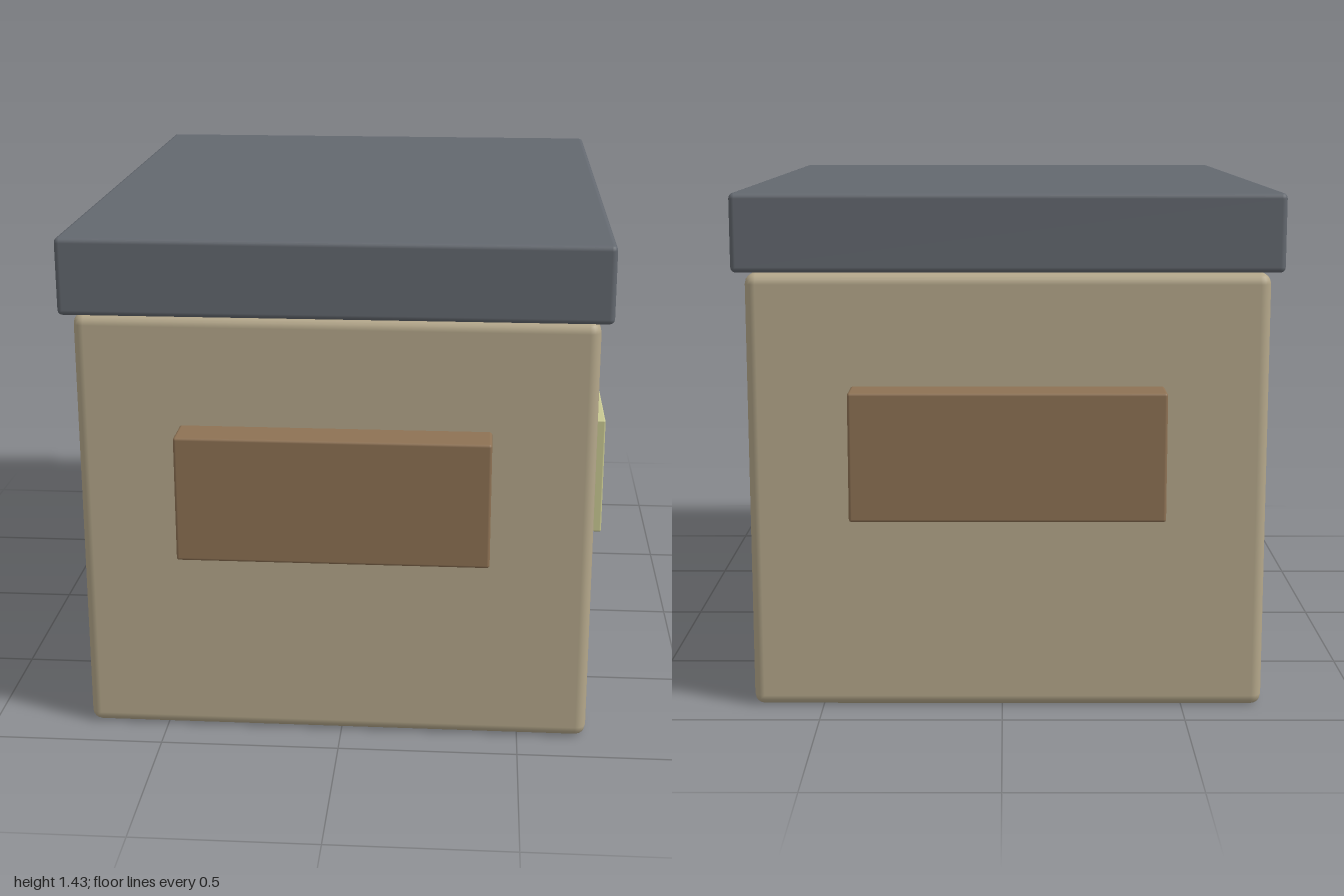
import * as THREE from 'three';
import { RoundedBoxGeometry } from 'three/addons/geometries/RoundedBoxGeometry.js';

function material(name, color) {
  const m = new THREE.MeshStandardMaterial({ color });
  m.name = name;
  return m;
}

export function createModel() {
  const group = new THREE.Group();
  group.name = 'storageBox';

  const cardboard = material('tan cardboard', 0xb5a88b);
  const slate = material('slate grey', 0x63686f);
  const brown = material('handle brown', 0x8e7254);
  const cream = material('label cream', 0xc9c992);

  // Box with softened edges, given by its minimum and maximum corners
  function addBox(name, mat, min, max, bevel) {
    const size = max.map((v, i) => v - min[i]);
    const mesh = new THREE.Mesh(new RoundedBoxGeometry(...size, 2, bevel), mat);
    mesh.position.set(...max.map((v, i) => (v + min[i]) / 2));
    mesh.name = name;
    group.add(mesh);
  }

  // Container and overhanging lid
  addBox('body', cardboard, [-0.725, 0, -0.89], [0.695, 1.213, 0.89], 0.03);
  addBox('lid', slate, [-0.755, 1.218, -0.926], [0.725, 1.43, 0.926], 0.015);

  // Grip blocks on the front and back ends
  addBox('frontHandle', brown, [-0.44, 0.555, 0.85], [0.412, 0.907, 1], 0.008);
  addBox('backHandle', brown, [-0.44, 0.555, -1], [0.412, 0.907, -0.85], 0.008);

  // Label plate on one long side
  addBox('label', cream, [0.67, 0.432, -0.392], [0.752, 0.787, 0.392], 0.005);

  return group;
}
